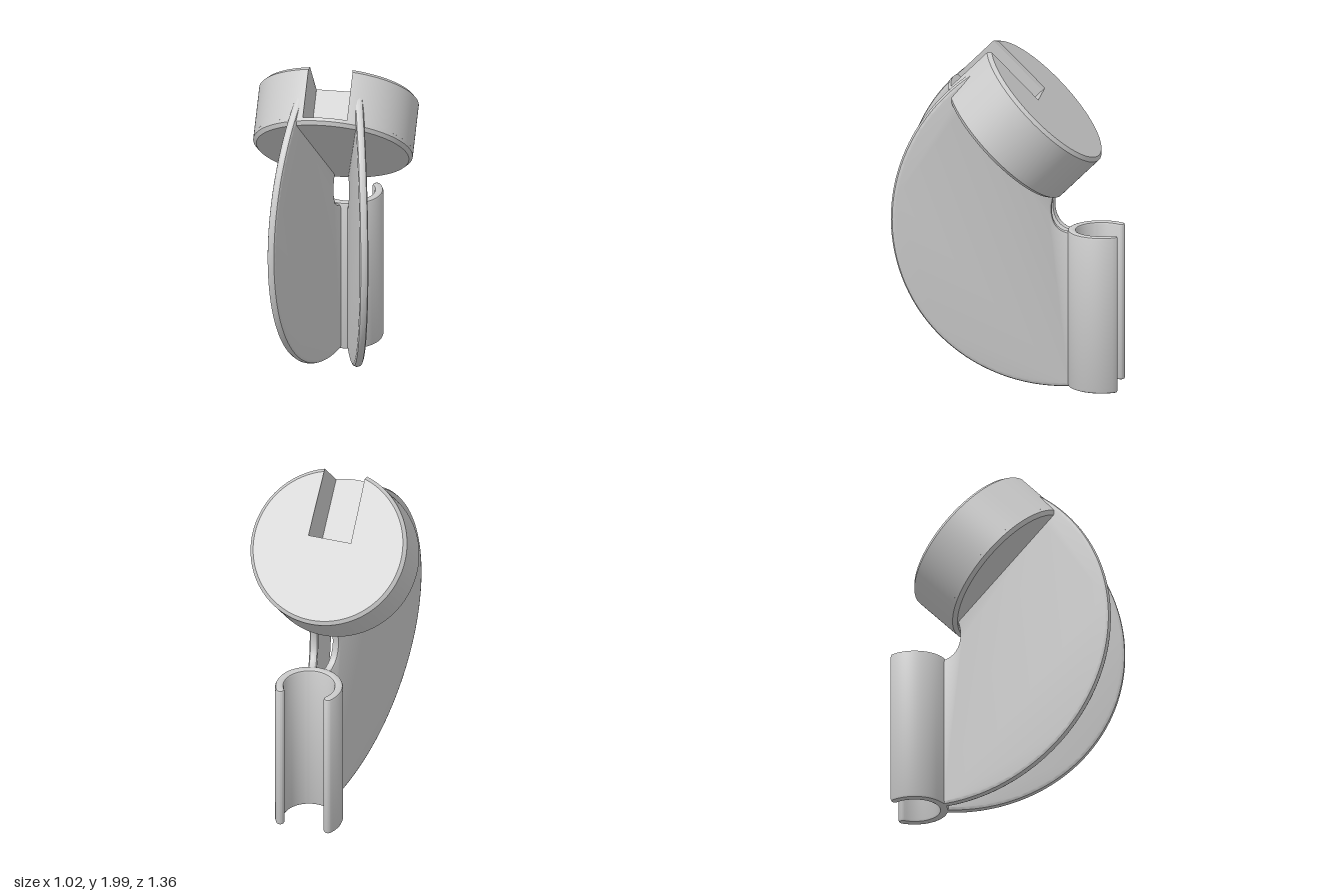
import * as THREE from 'three';
import { toCreasedNormals } from 'three/addons/utils/BufferGeometryUtils.js';

const deg = Math.PI / 180;
const HEADING = 22.5 * deg; // the way the stand points, turned from +z towards -x
const CLIP = new THREE.Vector3(0.2, 0, -0.52); // clip axis
const material = new THREE.MeshStandardMaterial({ color: 0xcccccc });

function part(name, geometry) {
  const mesh = new THREE.Mesh(toCreasedNormals(geometry, 0.5), material);
  mesh.name = name;
  return mesh;
}

// Extrusion whose bevel stays inside the outline and the total depth
function bevelled(shape, depth, bevel, curveSegments) {
  return new THREE.ExtrudeGeometry(shape, {
    depth: depth - 2 * bevel, bevelThickness: bevel, bevelSize: bevel,
    bevelOffset: -bevel, bevelSegments: 2, curveSegments,
  }).translate(0, 0, bevel);
}

// C-shaped spring clip with rounded lips
function clipGeometry() {
  const outer = 0.195, inner = 0.145, mid = 0.17, lip = 0.025, height = 0.93;
  const a0 = -9.5 * deg, a1 = 234.5 * deg;
  const s = new THREE.Shape();
  s.absarc(0, 0, outer, a0, a1, false);
  s.absarc(mid * Math.cos(a1), mid * Math.sin(a1), lip, a1, a1 + Math.PI, false);
  s.absarc(0, 0, inner, a1, a0, true);
  s.absarc(mid * Math.cos(a0), mid * Math.sin(a0), lip, a0 + Math.PI, a0 + 2 * Math.PI, false);
  return bevelled(s, height, 0.015, 24).rotateX(Math.PI / 2).translate(0, height, 0);
}

// Curved rib: x is the distance from the clip axis, y is up
function ribGeometry() {
  const thickness = 0.05;
  const s = new THREE.Shape();
  s.moveTo(0.17, 0);
  s.lineTo(0.19, 0);
  s.absarc(0.19, 1.02, 1.02, -Math.PI / 2, 56.4 * deg, false);
  s.lineTo(0.73, 1.72);
  s.lineTo(0.785, 1.665);
  s.lineTo(0.266, 1.155);
  s.bezierCurveTo(0.3, 1.08, 0.3, 0.94, 0.19, 0.92);
  s.lineTo(0.17, 0.92);
  s.closePath();
  return bevelled(s, thickness, 0.02, 48).translate(0, 0, -thickness / 2);
}

// Round head, built along z with its slot opening towards +y
function createHead() {
  const R = 0.46, depth = 0.353, floor = 0.04, chamfer = 0.02;
  const half = 0.128, slotEnd = 0.041;
  const head = new THREE.Group();
  head.name = 'head';

  const base = [[0, 0], [R - chamfer, 0], [R, chamfer], [R, floor], [0, floor]];
  head.add(part('headBase', new THREE.LatheGeometry(
    base.map(([x, y]) => new THREE.Vector2(x, y)), 96).rotateX(Math.PI / 2)));

  const a = Math.acos(half / R);
  const s = new THREE.Shape();
  s.moveTo(half, slotEnd);
  s.lineTo(-half, slotEnd);
  s.absarc(0, 0, R, Math.PI - a, 2 * Math.PI + a, false);
  s.closePath();
  const slab = (z0, z1) => new THREE.ExtrudeGeometry(s, {
    depth: z1 - z0, bevelEnabled: false, curveSegments: 96,
  }).translate(0, 0, z0);
  head.add(part('headBody', slab(floor, depth - chamfer)));

  // Chamfered rim: draw the outer edge of the end face inwards
  const rim = slab(depth - chamfer, depth);
  const p = rim.attributes.position;
  for (let i = 0; i < p.count; i++) {
    const x = p.getX(i), y = p.getY(i);
    if (p.getZ(i) > depth - 0.001 && Math.hypot(x, y) > R - 0.001) {
      const k = (R - chamfer) / R;
      p.setXY(i, x * k, y * k);
    }
  }
  head.add(part('headRim', rim));

  // Tilt 45 degrees back along the heading
  const f = new THREE.Vector3(-Math.sin(HEADING), 0, Math.cos(HEADING));
  const up = new THREE.Vector3(0, 1, 0);
  const d = f.clone().add(up).normalize();
  const n = up.clone().sub(f).normalize();
  const m = new THREE.Matrix4().makeBasis(d.clone().cross(n), d, n);
  head.quaternion.setFromRotationMatrix(m);
  head.position.set(-0.025, 1.438, 0.0025);
  return head;
}

export function createModel() {
  const model = new THREE.Group();
  model.name = 'clipStand';

  const clip = part('clip', clipGeometry());
  clip.position.copy(CLIP);
  model.add(clip);

  // Two ribs fanning out from the clip
  for (const [name, side] of [['leftRib', -1], ['rightRib', 1]]) {
    const rib = part(name, ribGeometry());
    rib.position.copy(CLIP);
    rib.rotation.y = -(Math.PI / 2 + HEADING + side * 13 * deg);
    model.add(rib);
  }

  model.add(createHead());
  return model;
}
